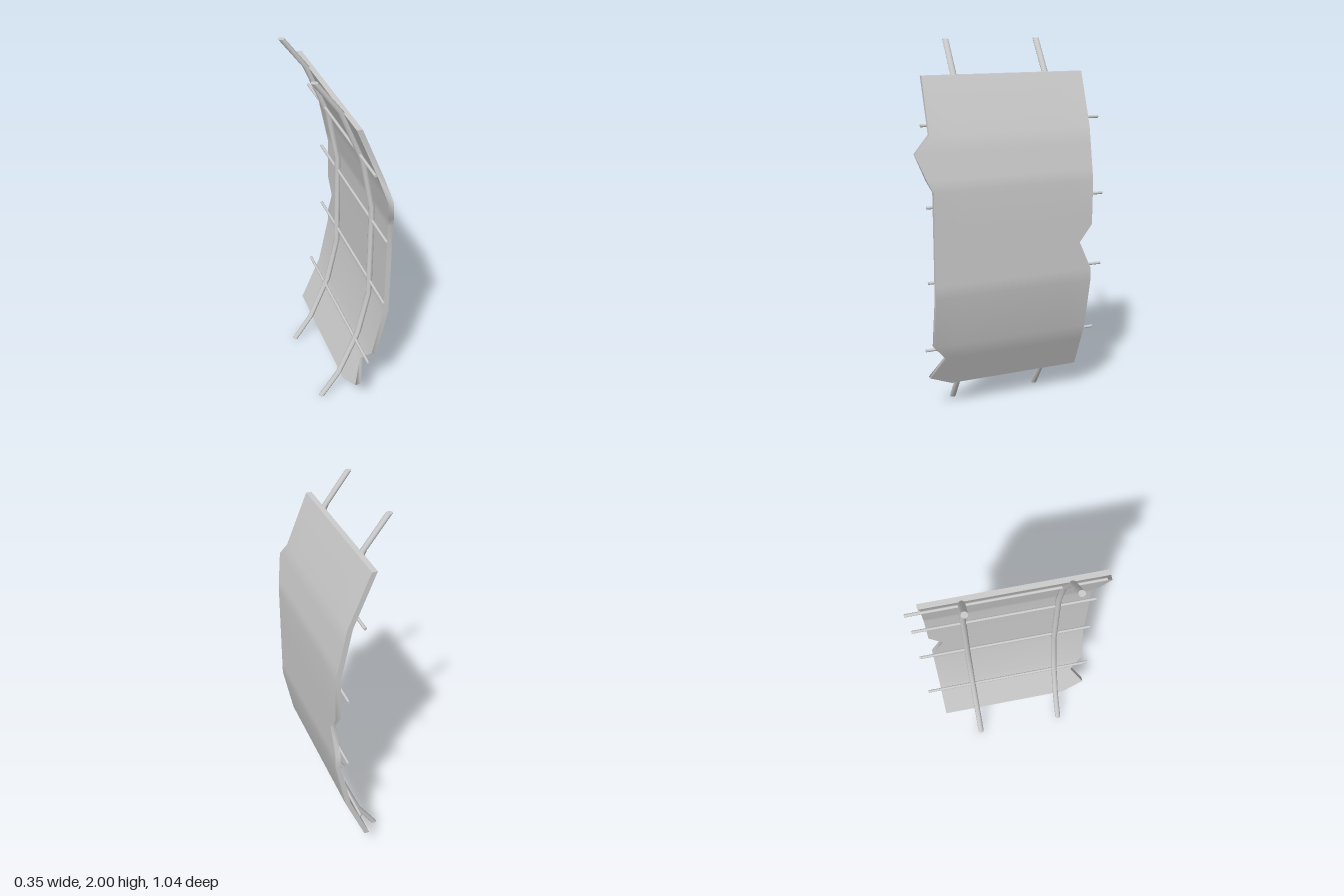
import * as THREE from 'three';

const grey = new THREE.MeshStandardMaterial({ color: 0xcccccc });

// Outer face of the bent panel as [y, x]
const BEND = [[0.15, 0], [0.425, 0.115], [0.71, 0.173], [1.27, 0.173], [1.55, 0.115], [1.83, 0]];
// Front and back edges as [y, z], with the broken notches and the bulge
const FRONT = [[0.15, 0.31], [0.21, 0.44], [0.335, 0.365], [0.425, 0.44], [1.27, 0.44],
  [1.33, 0.47], [1.46, 0.52], [1.55, 0.44], [1.83, 0.44]];
const BACK = [[0.15, -0.44], [0.78, -0.44], [0.935, -0.37], [1.03, -0.44], [1.83, -0.44]];
const THICK = 0.028;

// Linear interpolation along a list of [key, value]
function at(list, y) {
  let i = 0;
  while (i < list.length - 2 && y > list[i + 1][0]) i++;
  const [a, b] = [list[i], list[i + 1]];
  return a[1] + (b[1] - a[1]) * (y - a[0]) / (b[0] - a[0]);
}

// Grid of points fn(row, column) as a surface with its own smooth normals
function sheet(rows, cols, fn) {
  const pos = [], idx = [];
  for (let r = 0; r < rows; r++) for (let c = 0; c < cols; c++) pos.push(...fn(r, c));
  for (let r = 0; r < rows - 1; r++) for (let c = 0; c < cols - 1; c++) {
    const a = r * cols + c, b = a + cols;
    idx.push(a, a + 1, b, b, a + 1, b + 1);
  }
  const g = new THREE.BufferGeometry();
  g.setAttribute('position', new THREE.Float32BufferAttribute(pos, 3));
  g.setIndex(idx);
  g.computeVertexNormals();
  return new THREE.Mesh(g, grey);
}

function makePanel() {
  const panel = new THREE.Group();
  panel.name = 'panel';
  const ys = [...new Set([...BEND, ...FRONT, ...BACK].map(p => p[0]))].sort((a, b) => a - b);
  const n = ys.length, cols = 7;
  // u runs front to back, d is the depth below the outer face
  const point = (y, u, d) => {
    const f = at(FRONT, y), b = at(BACK, y);
    return [at(BEND, y) - d, y, f + (b - f) * u];
  };
  const add = (name, mesh) => { mesh.name = name; panel.add(mesh); };
  add('outerFace', sheet(n, cols, (r, c) => point(ys[r], c / (cols - 1), 0)));
  add('innerFace', sheet(n, cols, (r, c) => point(ys[r], 1 - c / (cols - 1), THICK)));
  add('frontEdge', sheet(n, 2, (r, c) => point(ys[r], 0, THICK * (1 - c))));
  add('backEdge', sheet(n, 2, (r, c) => point(ys[r], 1, THICK * c)));
  add('topEdge', sheet(2, 2, (r, c) => point(ys[n - 1], c, THICK * r)));
  add('bottomEdge', sheet(2, 2, (r, c) => point(ys[0], c, THICK * (1 - r))));
  return panel;
}

// Upright bars follow the bend behind the panel, cut level at both ends
const BAR = [[0, -0.14], [0.155, -0.036], [0.43, 0.075], [0.71, 0.133],
  [1.27, 0.133], [1.56, 0.075], [1.835, -0.04], [2, -0.163]];

function makeUprightBar(z) {
  const segs = BAR.length - 1;
  const g = new THREE.CylinderGeometry(0.0165, 0.0165, 1, 12, segs);
  const p = g.attributes.position;
  for (let i = 0; i < p.count; i++) {
    const [y, x] = BAR[Math.round((p.getY(i) + 0.5) * segs)];
    p.setXYZ(i, p.getX(i) + x, y, p.getZ(i) + z);
  }
  g.computeVertexNormals();
  const bar = new THREE.Mesh(g, grey);
  bar.name = 'uprightBar';
  return bar;
}

// Thin cross bars run front to back
function makeCrossBar(x, y) {
  const g = new THREE.CylinderGeometry(0.008, 0.008, 0.985, 10);
  g.rotateX(Math.PI / 2);
  const bar = new THREE.Mesh(g, grey);
  bar.position.set(x, y, -0.0235);
  bar.name = 'crossBar';
  return bar;
}

export function createModel() {
  const model = new THREE.Group();
  model.name = 'bentPanelWithBars';
  model.add(makePanel());
  for (const z of [-0.243, 0.262]) model.add(makeUprightBar(z));
  for (const [x, y] of [[0.058, 0.39], [0.133, 0.793], [0.133, 1.19], [0.058, 1.592]]) {
    model.add(makeCrossBar(x, y));
  }
  return model;
}
